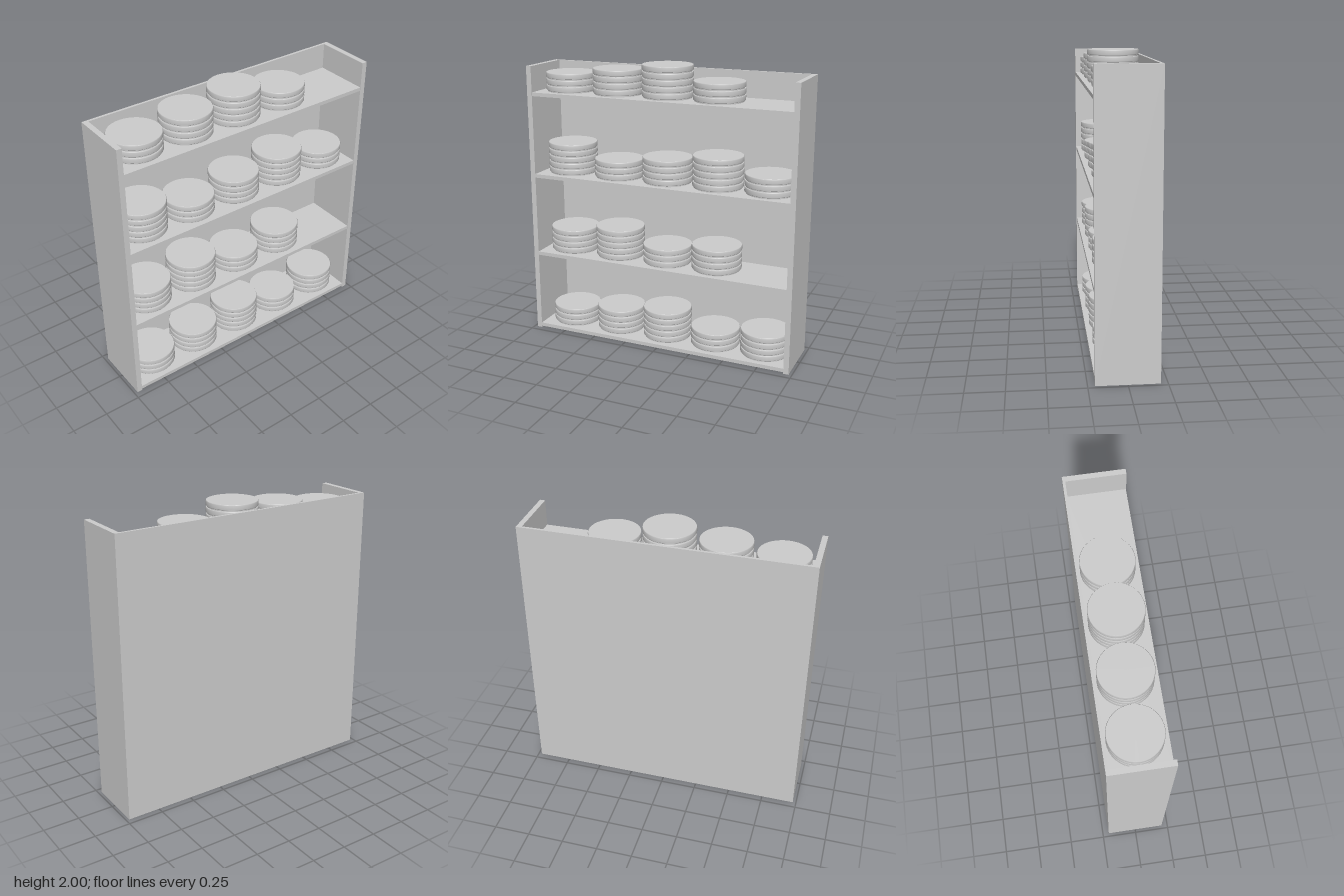
import * as THREE from 'three';

const grey = new THREE.MeshStandardMaterial({ color: 0xcccccc });
grey.name = 'light grey';

function box(name, w, h, d, x, y, z) {
  const mesh = new THREE.Mesh(new THREE.BoxGeometry(w, h, d), grey);
  mesh.name = name;
  mesh.position.set(x, y, z);
  return mesh;
}

// Flat disc with softened rim and a narrower foot; doubled points keep hard edges
function discGeometry() {
  const profile = [
    [0, 0], [0.166, 0], [0.166, 0], [0.166, 0.009], [0.166, 0.009],
    [0.172, 0.009], [0.175, 0.013], [0.175, 0.039], [0.172, 0.0444],
    [0.172, 0.0444], [0, 0.0444],
  ].map(([r, y]) => new THREE.Vector2(r, y));
  return new THREE.LatheGeometry(profile, 36);
}

export function createModel() {
  const model = new THREE.Group();
  model.name = 'shelfWithDiscs';

  // Case: two sides and a back
  const W = 0.977, H = 1.96, D = 0.205, T = 0.037;
  for (const s of [1, -1]) {
    model.add(box(s > 0 ? 'leftSide' : 'rightSide', T, H, D * 2, s * (W - T / 2), H / 2, 0));
  }
  model.add(box('backPanel', (W - T) * 2, H, 0.018, 0, H / 2, -D + 0.009));

  // Shelves, each with its stacks of discs (count per column)
  const levels = [
    { top: 0.036, stacks: [3, 4, 5, 3, 4] },
    { top: 0.604, stacks: [4, 5, 3, 4] },
    { top: 1.191, stacks: [5, 3, 4, 5, 3] },
    { top: 1.778, stacks: [3, 4, 5, 3] },
  ];
  const disc = discGeometry();
  const pitch = 0.0444;
  levels.forEach(({ top, stacks }, row) => {
    model.add(box(`shelf${row + 1}`, (W - T) * 2, 0.026, D * 2 - 0.02, 0, top - 0.013, 0.008));
    stacks.forEach((count, column) => {
      const stack = new THREE.Group();
      stack.name = `discStack${row + 1}_${column + 1}`;
      stack.position.set(-0.738 + column * 0.3715, top, 0);
      for (let i = 0; i < count; i++) {
        const mesh = new THREE.Mesh(disc, grey);
        mesh.name = 'disc';
        mesh.position.y = i * pitch;
        stack.add(mesh);
      }
      model.add(stack);
    });
  });
  return model;
}
